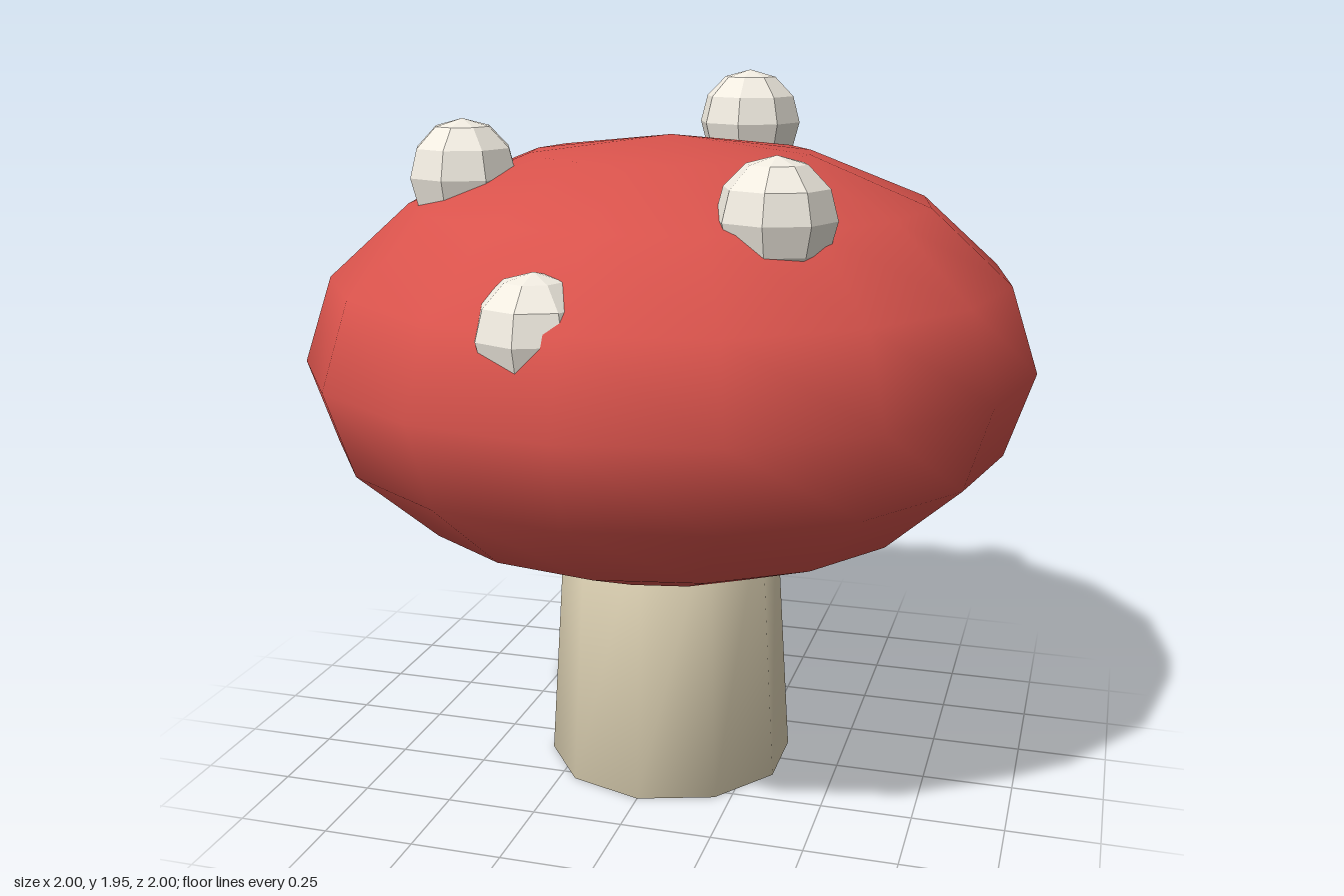
import * as THREE from 'three';
import { mergeVertices } from 'three/addons/utils/BufferGeometryUtils.js';

const capColor = new THREE.MeshStandardMaterial({ color: 0xd9534c });
const stemColor = new THREE.MeshStandardMaterial({ color: 0xe3d7b8 });
const spotColor = new THREE.MeshStandardMaterial({ color: 0xf0ebe0, flatShading: true });

function addPart(group, name, geometry, material, x, y, z) {
  const mesh = new THREE.Mesh(geometry, material);
  mesh.name = name;
  mesh.position.set(x, y, z);
  group.add(mesh);
  return mesh;
}

// Share vertices across edges so the whole surface shades smoothly
function weld(geometry) {
  geometry.deleteAttribute('normal');
  geometry.deleteAttribute('uv');
  const welded = mergeVertices(geometry);
  welded.computeVertexNormals();
  return welded;
}

export function createModel() {
  const mushroom = new THREE.Group();
  mushroom.name = 'mushroom';

  // Tapered ten-sided stem, its top hidden inside the cap
  const stem = weld(new THREE.CylinderGeometry(0.3, 0.35, 0.8, 10));
  addPart(mushroom, 'stem', stem, stemColor, 0, 0.4, 0);

  // Flattened ball for the cap
  const cap = new THREE.SphereGeometry(1, 16, 8).scale(1, 0.6, 1);
  addPart(mushroom, 'cap', cap, capColor, 0, 1.2, 0);

  // Faceted spots half sunk into the cap
  const spot = new THREE.SphereGeometry(0.15, 8, 6);
  const spots = [
    ['spotBack', 0.1, 1.8, -0.5],
    ['spotRight', -0.5, 1.7, 0.25],
    ['spotLeft', 0.4, 1.65, 0.5],
    ['spotFront', -0.1, 1.4, 0.8],
  ];
  for (const [name, x, y, z] of spots) addPart(mushroom, name, spot, spotColor, x, y, z);

  return mushroom;
}
